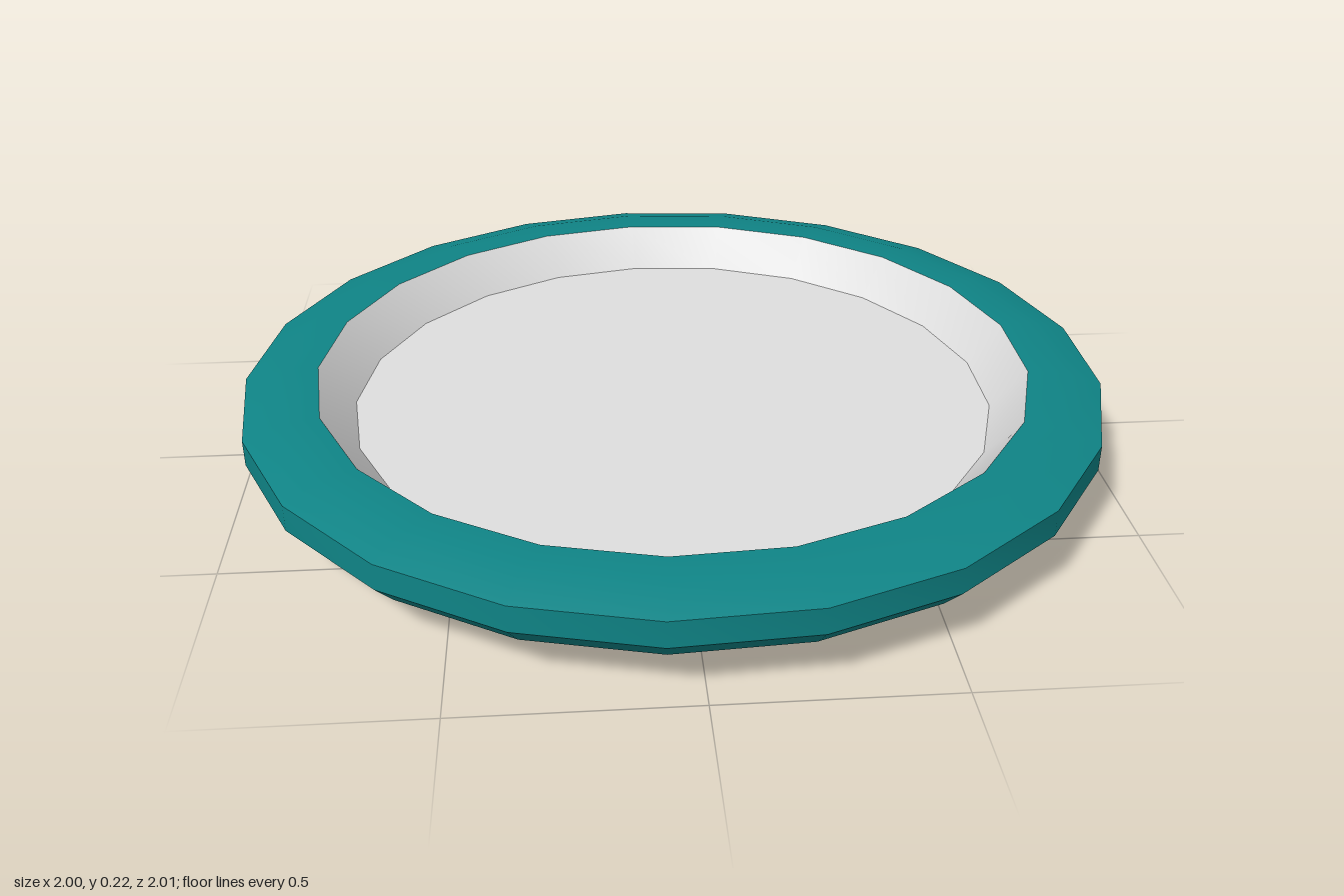
import * as THREE from 'three';
import { toCreasedNormals } from 'three/addons/utils/BufferGeometryUtils.js';

const SIDES = 21;
const START = THREE.MathUtils.degToRad(-90.57); // slight twist of the polygon

// Revolve a [radius, height] profile; soft around the rim, sharp at the bevels
function turned(name, profile, material) {
  const points = profile.map(([r, y]) => new THREE.Vector2(r, y));
  const lathe = new THREE.LatheGeometry(points, SIDES, START);
  const mesh = new THREE.Mesh(toCreasedNormals(lathe, THREE.MathUtils.degToRad(25)), material);
  mesh.name = name;
  mesh.position.set(0.0056, 0, 0.001); // odd side count: recentre the outline
  return mesh;
}

export function createModel() {
  const teal = new THREE.MeshStandardMaterial({ color: 0x0f8486 });
  teal.name = 'teal glaze';
  const white = new THREE.MeshStandardMaterial({ color: 0xdedede });
  white.name = 'white glaze';

  const plate = new THREE.Group();
  plate.name = 'plate';

  // Underside, foot, bevelled edge and flat rim
  plate.add(turned('plateBody', [
    [0, 0], [0.75, 0], [0.81, 0.07], [0.96, 0.09],
    [1.0056, 0.14], [1.0056, 0.2], [0.92, 0.225], [0.835, 0.225],
  ], teal));

  // Sunken wall and floor
  plate.add(turned('plateDish', [[0.835, 0.225], [0.755, 0.13], [0, 0.13]], white));

  return plate;
}
